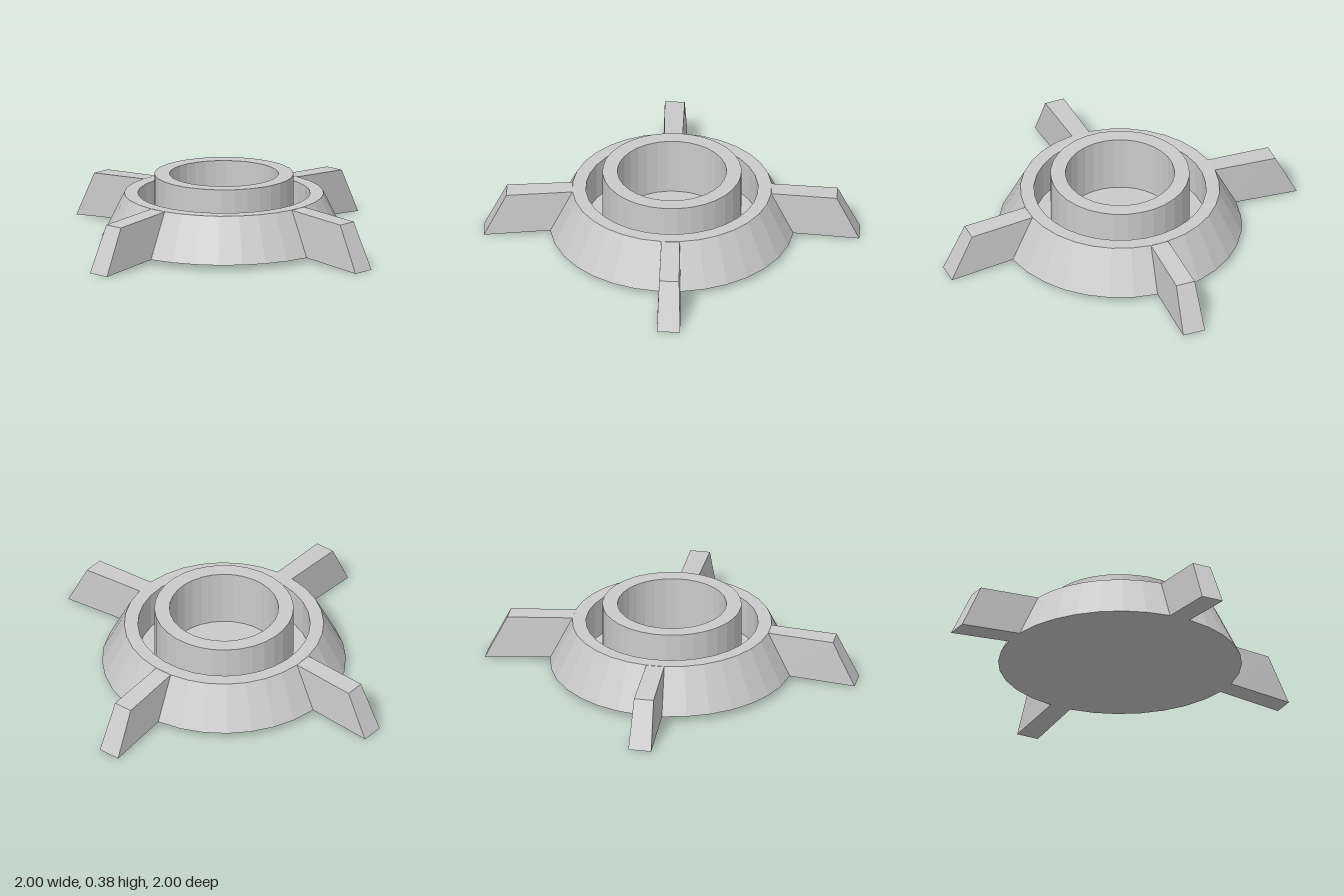
import * as THREE from 'three';

const material = new THREE.MeshStandardMaterial({ color: 0xcccccc, flatShading: true });

function addMesh(parent, geometry, name) {
  const faceted = geometry.toNonIndexed();
  faceted.computeVertexNormals();
  const mesh = new THREE.Mesh(faceted, material);
  mesh.name = name;
  parent.add(mesh);
  return mesh;
}

// Turned part with 32 facets; profile is [radius, height] pairs
function turned(profile) {
  return new THREE.LatheGeometry(profile.map(([r, y]) => new THREE.Vector2(r, y)), 32);
}

// Tapered vane along +z, with a slanted tip and its root buried in the hub wall
function vaneGeometry() {
  // [outer side, inner side] corners for each end and height
  const corners = {
    rootTop: [[-0.097, 0.27, 0.5], [0, 0.27, 0.51]],
    rootBottom: [[-0.122, 0.03, 0.625], [-0.005, 0.03, 0.64]],
    tipTop: [[-0.138, 0.245, 0.868], [-0.033, 0.245, 0.88]],
    tipBottom: [[-0.16, 0, 0.985], [-0.037, 0, 1]],
  };
  const geometry = new THREE.BoxGeometry(1, 1, 1);
  const pos = geometry.attributes.position;
  for (let i = 0; i < pos.count; i++) {
    const key = (pos.getZ(i) > 0 ? 'tip' : 'root') + (pos.getY(i) > 0 ? 'Top' : 'Bottom');
    pos.setXYZ(i, ...corners[key][pos.getX(i) > 0 ? 1 : 0]);
  }
  return geometry;
}

export function createModel() {
  const model = new THREE.Group();
  model.name = 'vanedHub';

  // Conical hub, hollow from above with a closed base
  addMesh(model, turned([
    [0, 0.03], [0.648, 0.03], [0.53, 0.27], [0.458, 0.27], [0.458, 0.06], [0, 0.06],
  ]), 'hub');

  // Raised collar standing on the hub floor
  addMesh(model, turned([
    [0.37, 0.05], [0.37, 0.375], [0.29, 0.375], [0.29, 0.05],
  ]), 'collar');

  // Four vanes, a quarter turn apart
  for (let i = 0; i < 4; i++) {
    addMesh(model, vaneGeometry(), `vane${i + 1}`).rotation.y = (i * Math.PI) / 2;
  }
  return model;
}
